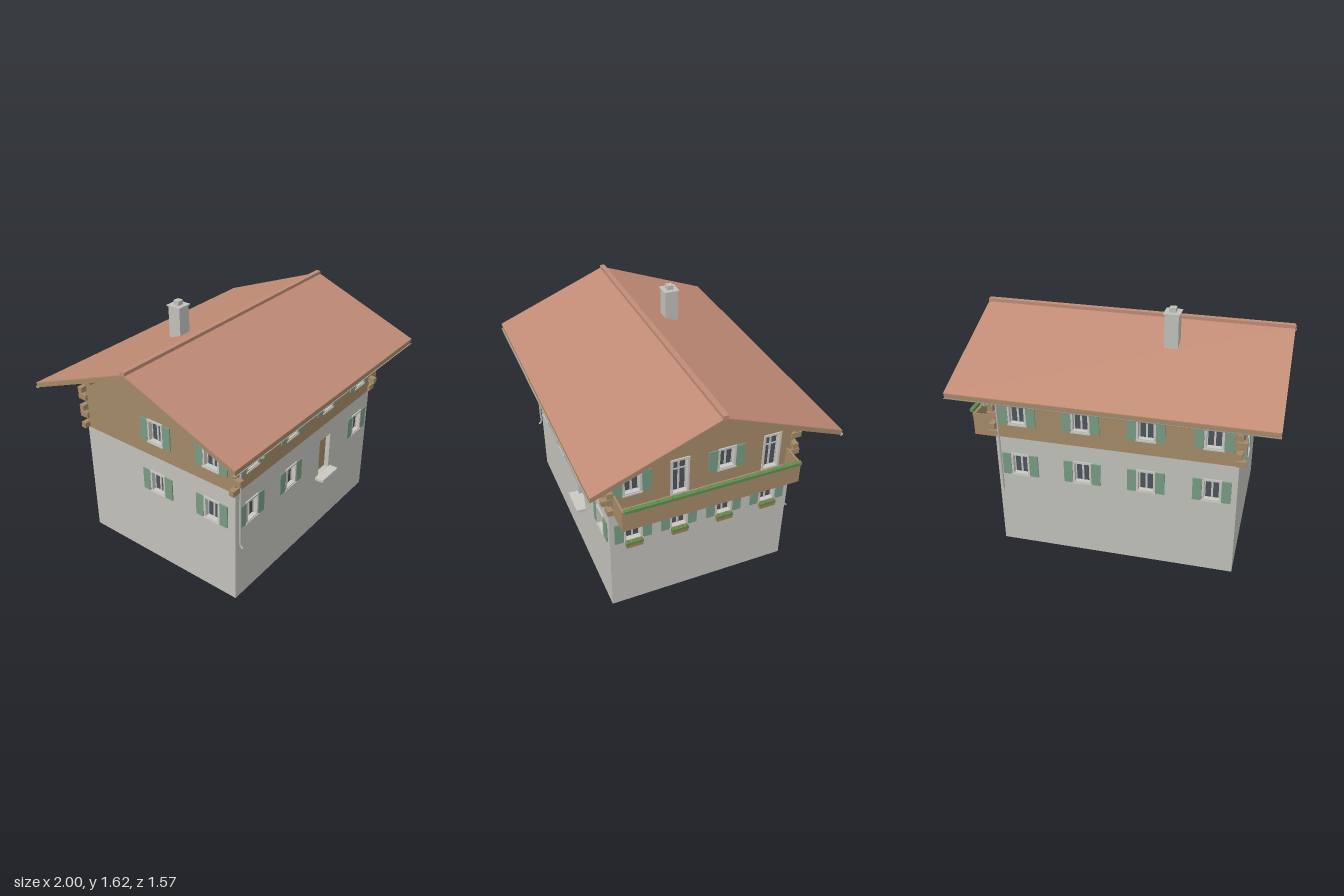
import * as THREE from 'three';

const mat = (name, color, side = THREE.FrontSide) => {
  const m = new THREE.MeshStandardMaterial({ color, side });
  m.name = name;
  return m;
};

export function createModel() {
  const plaster = mat('plaster', 0xc1c0ba);
  const wood = mat('wood', 0xa38967);
  const tile = mat('roof tile', 0xc08b75);
  const shutterGreen = mat('shutter green', 0x789a84);
  const glass = mat('glass', 0x4c545c);
  const trim = mat('pale trim', 0xc9c7c1);
  const metal = mat('gutter metal', 0xb4b4b0, THREE.DoubleSide);
  const leaf = mat('leaf', 0x5c8f4c);
  const bloom = mat('bloom', 0xb9604c);
  const planter = mat('planter', 0xa67f58);

  const HX = 0.77, HZ = 0.605, T = 0.035, SPLIT = 0.8;
  const SLOPE = 0.394, RIDGE = 1.47;
  const underside = z => RIDGE - 0.035 - SLOPE * Math.abs(z);

  const house = new THREE.Group();
  house.name = 'chalet';

  const add = (parent, name, geometry, material) => {
    const mesh = new THREE.Mesh(geometry, material);
    mesh.name = name;
    parent.add(mesh);
    return mesh;
  };
  const box = (parent, name, material, x0, x1, y0, y1, z0, z1) => {
    const mesh = add(parent, name, new THREE.BoxGeometry(x1 - x0, y1 - y0, z1 - z0), material);
    mesh.position.set((x0 + x1) / 2, (y0 + y1) / 2, (z0 + z1) / 2);
    return mesh;
  };
  const polygon = pts => new THREE.Shape(pts.map(p => new THREE.Vector2(...p)));
  const rect = (x0, x1, y0, y1) => polygon([[x0, y0], [x1, y0], [x1, y1], [x0, y1]]);
  const extrude = (shape, z0, z1) => {
    const g = new THREE.ExtrudeGeometry(shape, { depth: z1 - z0, bevelEnabled: false });
    return g.translate(0, 0, z0);
  };

  // Row of leaves with small blooms, running along local x
  const plants = (parent, u0, u1, y, w0, w1, count) => {
    box(parent, 'leaves', leaf, u0, u1, y, y + 0.02, w0, w1);
    for (let i = 0; i < count; i++) {
      const f = add(parent, 'bloom', new THREE.IcosahedronGeometry(0.008, 0), bloom);
      f.position.set(u0 + (u1 - u0) * (i + 0.5) / count, y + 0.024, (w0 + w1) / 2 + (i % 2 ? 0.004 : -0.004));
    }
  };

  // Recessed two-leaf window; local origin is the outer wall face
  const addWindow = (side, { u, y0, y1, shutters = true, flowers = false, door = false }) => {
    const w = new THREE.Group();
    w.name = door ? 'balconyDoor' : 'window';
    w.position.x = u;
    side.add(w);
    const surround = rect(-0.06, 0.06, y0, y1);
    surround.holes.push(rect(-0.047, 0.047, y0 + 0.013, y1 - 0.013));
    add(w, 'surround', extrude(surround, -T - 0.003, 0.008), trim);
    box(w, 'pane', glass, -0.048, 0.048, y0 + 0.012, y1 - 0.012, -0.03, -0.024);
    box(w, 'mullion', trim, -0.006, 0.006, y0 + 0.012, y1 - 0.012, -0.025, -0.019);
    for (const s of [-1, 1]) {
      box(w, 'sash', trim, s * 0.044 - 0.003, s * 0.044 + 0.003, y0 + 0.012, y1 - 0.012, -0.025, -0.02);
      if (shutters) box(w, 'shutter', shutterGreen, s * 0.09 - 0.029, s * 0.09 + 0.029, y0, y1 - 0.005, 0, 0.008);
    }
    if (door) box(w, 'crossbar', trim, -0.047, 0.047, 0.975, 0.983, -0.025, -0.019);
    else box(w, 'sill', trim, -0.063, 0.063, y0 - 0.004, y0 + 0.006, -0.01, 0.013);
    if (flowers) {
      box(w, 'flowerBox', planter, -0.054, 0.054, 0.495, 0.522, 0.008, 0.032);
      plants(w, -0.056, 0.056, 0.518, 0.006, 0.034, 4);
    }
  };

  // One side of the house: plaster below, boards above, both pierced by openings
  const addSide = (name, turn, dist, half, topPts, openings) => {
    const side = new THREE.Group();
    side.name = name;
    side.rotation.y = turn;
    side.translateZ(dist);
    house.add(side);
    const lower = rect(-half, half, 0, SPLIT);
    const upper = polygon([[-half, SPLIT], [half, SPLIT], ...topPts]);
    for (const o of openings) {
      const hw = o.entrance ? 0.065 : 0.055, inset = o.entrance ? 0 : 0.005;
      const hole = rect(o.u - hw, o.u + hw, o.y0 + inset, o.y1 - inset);
      (o.y0 >= SPLIT ? upper : lower).holes.push(hole);
      if (!o.entrance) addWindow(side, o);
    }
    add(side, 'plasterWall', extrude(lower, -T, 0), plaster);
    add(side, 'boardWall', extrude(upper, -T, 0), wood);
    return side;
  };

  const low = (u, extra) => ({ u, y0: 0.53, y1: 0.688, ...extra });
  const high = (u, extra) => ({ u, y0: 0.9, y1: 1.06, ...extra });
  const eaveTop = [[HX, underside(HZ)], [-HX, underside(HZ)]];
  const gh = HZ - T;
  const gableTop = [[gh, underside(gh)], [0, underside(0)], [-gh, underside(gh)]];
  const row = [-0.615, -0.205, 0.205, 0.615];

  const front = addSide('frontSide', 0, HZ, HX, eaveTop, [
    ...row.map(u => high(u)), low(-0.615), low(-0.205), low(0.615),
    { u: 0.205, y0: 0.42, y1: 0.69, entrance: true }]);
  box(front, 'frontDoor', wood, 0.138, 0.272, 0.418, 0.692, -T - 0.004, -T + 0.003);
  box(front, 'doorstep', trim, 0.105, 0.295, 0.4, 0.42, -T, 0.062);

  addSide('backSide', Math.PI, HZ, HX, eaveTop, [...row.map(u => high(u)), ...row.map(u => low(u))]);

  const balconyDoor = { y0: 0.802, y1: 1.07, shutters: false, door: true };
  const right = addSide('balconySide', Math.PI / 2, HX, gh, gableTop, [
    ...[-0.455, -0.155, 0.15, 0.455].map(u => low(u, { flowers: true })),
    high(-0.455), high(0.15), { u: -0.155, ...balconyDoor }, { u: 0.455, ...balconyDoor }]);

  addSide('plainGableSide', -Math.PI / 2, HX, gh, gableTop, [
    low(0), low(0.43), high(0), high(0.43)]);

  // Balcony, open at the top
  const balcony = new THREE.Group();
  balcony.name = 'balcony';
  right.add(balcony);
  box(balcony, 'floor', wood, -0.575, 0.575, 0.775, 0.795, 0, 0.155);
  box(balcony, 'parapet', wood, -0.575, 0.575, 0.775, 0.9, 0.143, 0.155);
  box(balcony, 'handrail', wood, -0.575, 0.575, 0.9, 0.927, 0.138, 0.158);
  for (const s of [-1, 1]) box(balcony, 'endPanel', wood, s * 0.569 - 0.006, s * 0.569 + 0.006, 0.775, 0.925, 0, 0.15);
  plants(balcony, -0.565, 0.565, 0.927, 0.155, 0.18, 14);

  // Log ends crossing at the corners
  for (const sx of [-1, 1]) for (const sz of [-1, 1]) {
    for (let i = 0; i < 6; i++) {
      const alongX = i % 2 === 0;
      const log = add(house, 'logEnd', new THREE.BoxGeometry(alongX ? 0.06 : 0.035, 0.038, alongX ? 0.035 : 0.065), wood);
      log.position.set(sx * (alongX ? 0.78 : 0.769), 0.826 + i * 0.065, sz * (alongX ? 0.604 : 0.617));
    }
  }

  // Roof: timber chevron with a tile layer and ridge cap
  const roof = new THREE.Group();
  roof.name = 'roof';
  roof.rotation.y = Math.PI / 2;
  house.add(roof);
  const chevron = (top, thick, e) => polygon([
    [-e, top - SLOPE * e - thick], [0, top - thick], [e, top - SLOPE * e - thick],
    [e, top - SLOPE * e], [0, top], [-e, top - SLOPE * e]]);
  add(roof, 'roofTimber', extrude(chevron(RIDGE - 0.006, 0.03, 0.775), -0.998, 0.998), wood);
  add(roof, 'roofTiles', extrude(chevron(RIDGE, 0.006, 0.777), -1, 1), tile);
  box(roof, 'ridgeCap', tile, -0.017, 0.017, 1.458, 1.485, -1, 1);

  // Purlins carrying the overhang on both gables
  for (const sx of [-1, 1]) for (const z of [-0.335, 0, 0.335]) {
    const p = add(house, 'purlin', new THREE.BoxGeometry(0.2, 0.028, 0.024), wood);
    p.position.set(sx * 0.86, underside(z) - (z ? 0.012 : 0.014), z);
  }

  // Gutters and downpipes
  for (const s of [-1, 1]) {
    const g = new THREE.CylinderGeometry(0.012, 0.012, 2, 10, 1, true, 0, Math.PI);
    g.rotateZ(-Math.PI / 2).rotateX(0);
    const gutter = add(house, 'gutter', g, metal);
    gutter.position.set(0, 1.137, s * 0.774);
    const path = new THREE.CurvePath();
    const x = s > 0 ? -0.745 : 0.742;
    const pts = [[1.13, 0.775], [1.112, 0.775], [1.105, 0.768], [1.06, 0.63], [1.045, 0.62], [0.43, 0.62], [0.412, 0.625], [0.402, 0.638]]
      .map(([y, z]) => new THREE.Vector3(x, y, s * z));
    for (let i = 1; i < pts.length; i++) path.add(new THREE.LineCurve3(pts[i - 1], pts[i]));
    add(house, 'downpipe', new THREE.TubeGeometry(path, 120, 0.007, 8), metal);
  }

  // Chimney on the back slope
  box(house, 'chimneyStack', plaster, -0.322, -0.235, 1.3, 1.58, -0.265, -0.175);
  box(house, 'chimneySlab', plaster, -0.33, -0.228, 1.58, 1.588, -0.272, -0.168);
  box(house, 'chimneyPot', plaster, -0.3, -0.258, 1.588, 1.617, -0.241, -0.199);

  return house;
}
